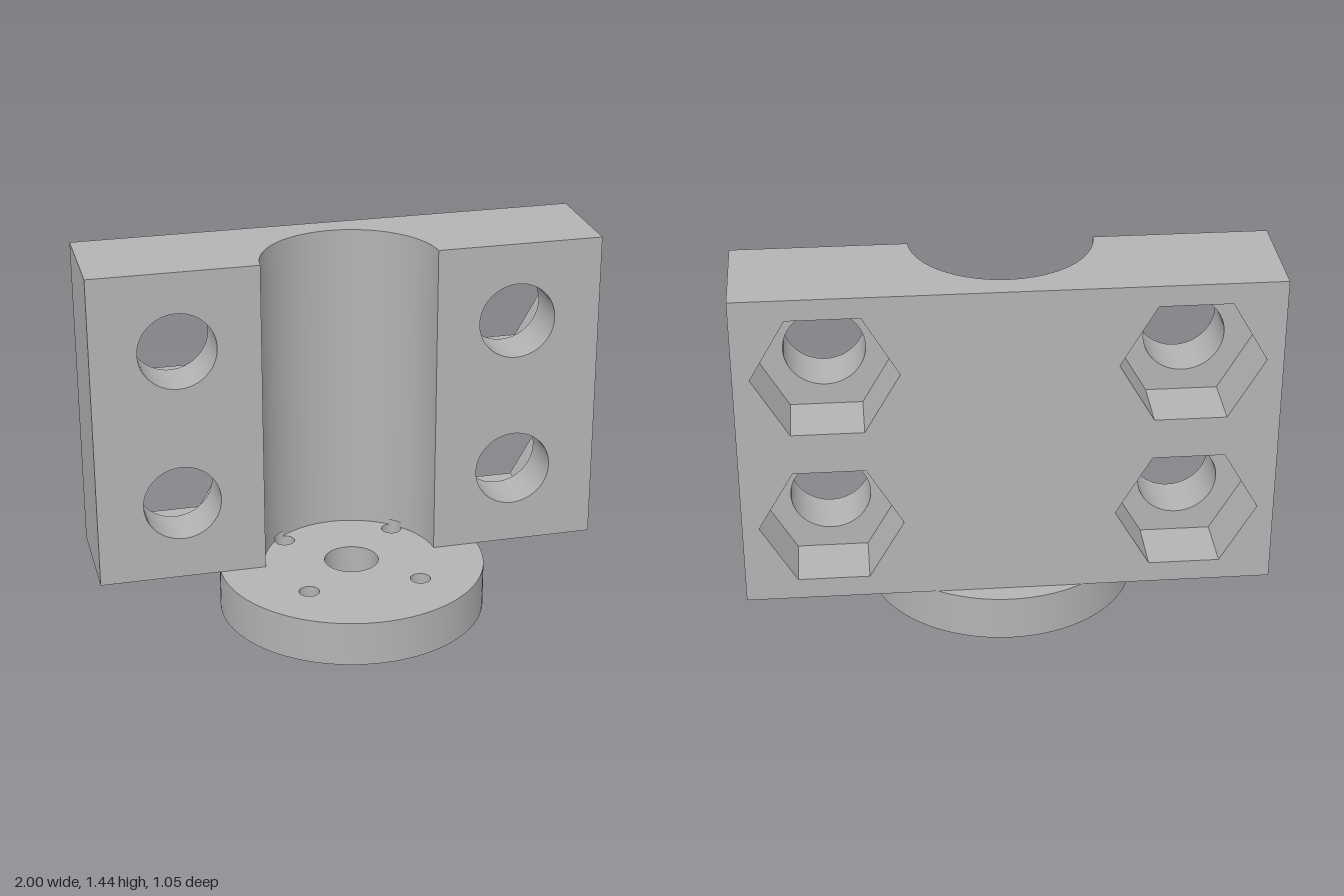
import * as THREE from 'three';
import { toCreasedNormals } from 'three/addons/utils/BufferGeometryUtils.js';

const BASE_R = 0.525, BASE_H = 0.178, TOP = 1.44;
const FRONT = -0.017, FLOOR = -0.217, BACK = -0.447;  // z of block front, hex pocket floor, block back
const GROOVE_R = 0.345, SCREW_R = 0.04, SCREW_AT = 0.223, NOTCH_H = 0.022;
const START = Math.asin(-FRONT / GROOVE_R);           // angle where the groove meets the front
const HALF_W = GROOVE_R * Math.cos(START);

const circle = (x, y, r) => new THREE.Path().absarc(x, y, r, 0, Math.PI * 2, true);

function hexagon(x, y, r) {
  const pts = [];
  for (let i = 0; i < 6; i++) {
    const a = -i * Math.PI / 3;
    pts.push(new THREE.Vector2(x + r * Math.cos(a), y + r * Math.sin(a)));
  }
  return new THREE.Path(pts);
}

function extrude(shape, depth) {
  const geo = new THREE.ExtrudeGeometry(shape, { depth, bevelEnabled: false, curveSegments: 48 });
  return toCreasedNormals(geo, 0.5);
}

// Plan shapes use (x, -z) and rise along y
const extrudeUp = (shape, y, height) => extrude(shape, height).rotateX(-Math.PI / 2).translate(0, y, 0);

// Plan of the block's centre with the half-round groove, optionally cut by the rear screw holes
function groovePlan(notched) {
  const s = new THREE.Shape().moveTo(-HALF_W, -BACK).lineTo(-HALF_W, -FRONT);
  if (notched) {
    const d = SCREW_AT * Math.SQRT2;
    const a = (d * d + GROOVE_R ** 2 - SCREW_R ** 2) / (2 * d);
    const cut = Math.acos(a / GROOVE_R), open = Math.acos((a - d) / SCREW_R);
    const left = Math.PI * 3 / 4, right = Math.PI / 4;
    s.absarc(0, 0, GROOVE_R, Math.PI - START, left + cut, true);
    s.absarc(-SCREW_AT, SCREW_AT, SCREW_R, left + open, left - open, true);
    s.absarc(0, 0, GROOVE_R, left - cut, right + cut, true);
    s.absarc(SCREW_AT, SCREW_AT, SCREW_R, right + open, right - open, true);
    s.absarc(0, 0, GROOVE_R, right - cut, START, true);
  } else {
    s.absarc(0, 0, GROOVE_R, Math.PI - START, START, true);
  }
  return s.lineTo(HALF_W, -BACK);
}

// Elevation of one side of the block with two openings
function wingShape(side, opening) {
  const x0 = side > 0 ? HALF_W : -1, x1 = side > 0 ? 1 : -HALF_W;
  const s = new THREE.Shape().moveTo(x0, BASE_H).lineTo(x1, BASE_H).lineTo(x1, TOP).lineTo(x0, TOP);
  for (const y of [0.495, 1.125]) s.holes.push(opening(side * 0.667, y));
  return s;
}

export function createModel() {
  const group = new THREE.Group();
  group.name = 'clampBracket';
  const grey = new THREE.MeshStandardMaterial({ color: 0xb3b3b3 });
  grey.name = 'grey';
  const add = (name, geo) => {
    const mesh = new THREE.Mesh(geo, grey);
    mesh.name = name;
    group.add(mesh);
  };

  // Round flange with a centre bore and four screw holes
  const disc = new THREE.Shape().absarc(0, 0, BASE_R, 0, Math.PI * 2, false);
  disc.holes.push(circle(0, 0, 0.107));
  for (const x of [-1, 1]) for (const y of [-1, 1]) disc.holes.push(circle(x * SCREW_AT, y * SCREW_AT, SCREW_R));
  add('baseFlange', extrudeUp(disc, 0, BASE_H));

  // Grooved centre of the block
  add('grooveFoot', extrudeUp(groovePlan(true), BASE_H, NOTCH_H));
  add('groove', extrudeUp(groovePlan(false), BASE_H + NOTCH_H, TOP - BASE_H - NOTCH_H));

  // Side wings: round bolt holes in front, hexagonal nut pockets behind
  for (const side of [-1, 1]) {
    const label = side > 0 ? 'left' : 'right';
    const bolts = wingShape(side, (x, y) => circle(x, y, 0.152));
    const nuts = wingShape(side, (x, y) => hexagon(x, y, 0.27));
    add(label + 'BoltPlate', extrude(bolts, FRONT - FLOOR).translate(0, 0, FLOOR));
    add(label + 'NutPlate', extrude(nuts, FLOOR - BACK).translate(0, 0, BACK));
  }
  return group;
}
